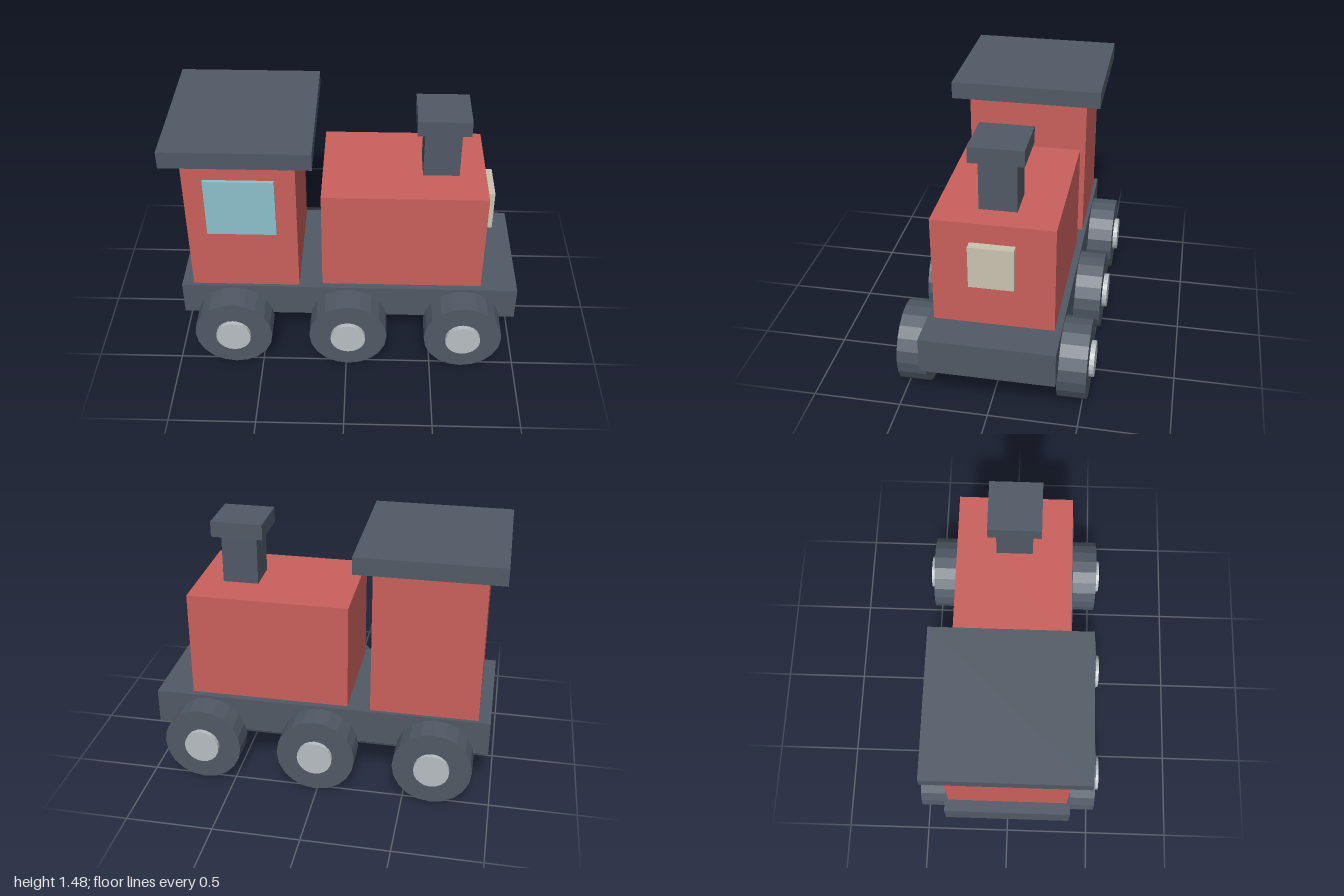
import * as THREE from 'three';

const material = (name, color) => {
  const m = new THREE.MeshStandardMaterial({ color, flatShading: true });
  m.name = name;
  return m;
};

export function createModel() {
  const train = new THREE.Group();
  train.name = 'toyTrain';

  const slate = material('slate', 0x505965);
  const red = material('red', 0xc9605c);
  const glass = material('glassBlue', 0x8ac0ca);
  const cream = material('cream', 0xc9c3b0);
  const silver = material('silver', 0xb8bec3);

  // Box given by its extents along each axis
  const block = (name, mat, [x0, x1], [y0, y1], [z0, z1]) => {
    const mesh = new THREE.Mesh(new THREE.BoxGeometry(x1 - x0, y1 - y0, z1 - z0), mat);
    mesh.position.set((x0 + x1) / 2, (y0 + y1) / 2, (z0 + z1) / 2);
    mesh.name = name;
    train.add(mesh);
  };

  // Chassis, cab and boiler
  block('chassis', slate, [-0.973, 1], [0.262, 0.47], [-0.374, 0.374]);
  block('cab', red, [-0.904, -0.28], [0.47, 1.357], [-0.353, 0.353]);
  block('roof', slate, [-1, -0.181], [1.357, 1.457], [-0.441, 0.441]);
  block('boiler', red, [-0.145, 0.788], [0.47, 1.1], [-0.336, 0.336]);

  // Chimney
  block('chimney', slate, [0.427, 0.635], [1.1, 1.393], [-0.105, 0.105]);
  block('chimneyCap', slate, [0.381, 0.681], [1.393, 1.484], [-0.15, 0.15]);

  // Headlamp, and the single window on the front side of the cab
  block('headlamp', cream, [0.795, 0.847], [0.743, 0.989], [-0.124, 0.124]);
  block('window', glass, [-0.787, -0.395], [0.864, 1.224], [0.355, 0.376]);

  // Three wheels per side, each with a protruding hub
  const wheelGeo = new THREE.CylinderGeometry(0.228, 0.228, 0.163, 20).rotateX(Math.PI / 2);
  const hubGeo = new THREE.CylinderGeometry(0.102, 0.102, 0.05, 20).rotateX(Math.PI / 2);
  for (const x of [-0.664, 0.011, 0.686]) {
    for (const side of [1, -1]) {
      const wheel = new THREE.Group();
      wheel.name = 'wheel';
      const tyre = new THREE.Mesh(wheelGeo, slate);
      tyre.name = 'tyre';
      tyre.position.z = side * 0.447;
      const hub = new THREE.Mesh(hubGeo, silver);
      hub.name = 'hub';
      hub.position.z = side * 0.531;
      wheel.add(tyre, hub);
      wheel.position.set(x, 0.229, 0);
      train.add(wheel);
    }
  }

  return train;
}
